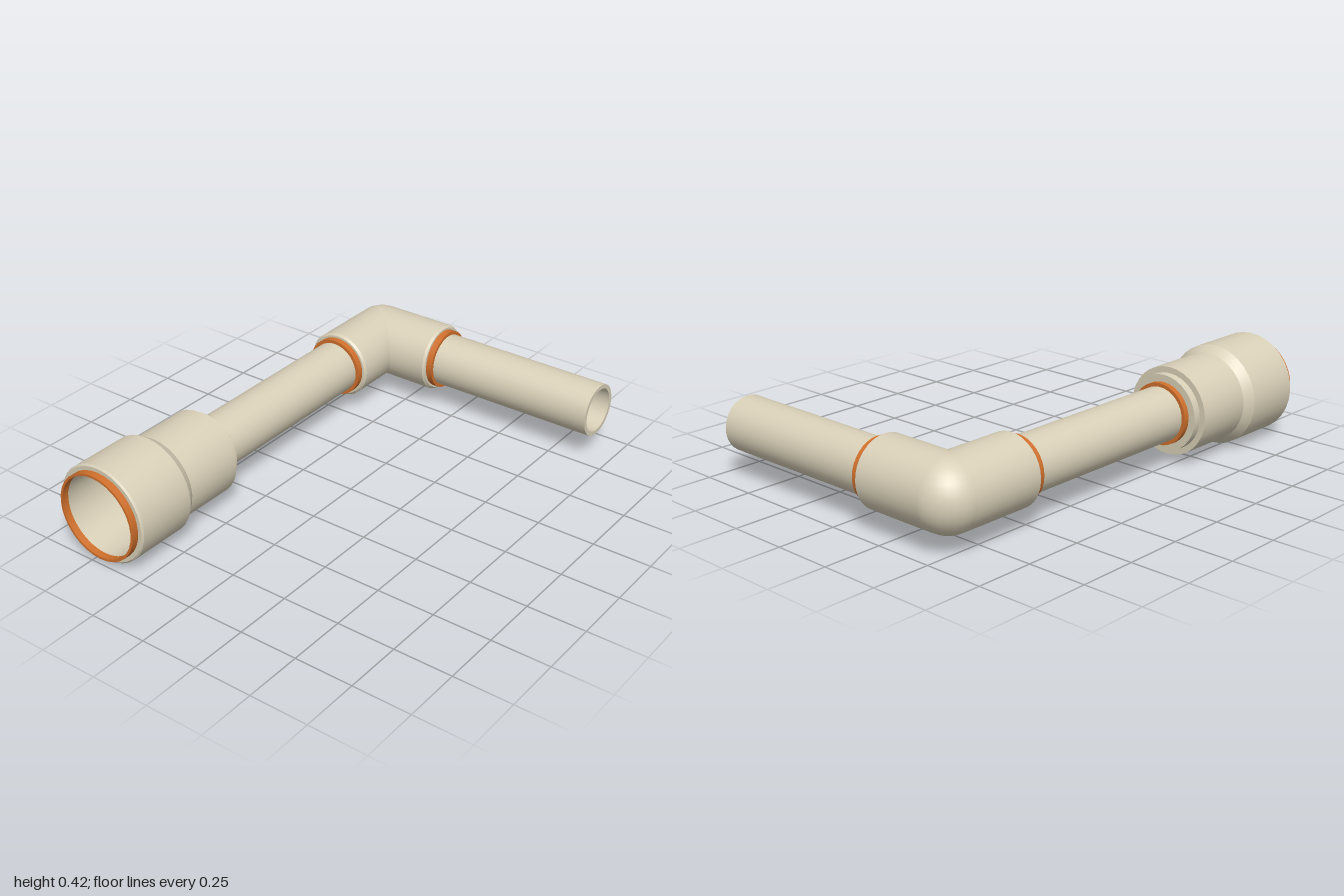
import * as THREE from 'three';
import { toCreasedNormals } from 'three/addons/utils/BufferGeometryUtils.js';

const SEGMENTS = 32;
const PIPE = 0.115, BORE = 0.096, ELBOW = 0.148, RING = 0.13;

export function createModel() {
  const model = new THREE.Group();
  const ivory = new THREE.MeshStandardMaterial({ color: 0xd9d0b8 });
  const orange = new THREE.MeshStandardMaterial({ color: 0xd0702c });
  const inside = new THREE.MeshStandardMaterial({ color: 0xd9d0b8, side: THREE.BackSide });

  // Group origin is the elbow corner; legs run along +z and +x
  const assembly = new THREE.Group();
  assembly.name = 'pipeAssembly';
  assembly.position.set(-0.455, 0.214, -0.852);
  model.add(assembly);

  // Turned part on a leg: profile of [radius, distance from corner].
  // Ends that reach the corner are cut to the mitre plane.
  function turned(name, profile, material, sideLeg = false) {
    const points = profile.map(([r, d]) => new THREE.Vector2(r, d));
    const lathe = new THREE.LatheGeometry(points, SEGMENTS);
    const p = lathe.attributes.position;
    const sign = sideLeg ? -1 : 1;
    for (let i = 0; i < p.count; i++) p.setY(i, Math.max(p.getY(i), sign * p.getX(i)));
    lathe.rotateX(Math.PI / 2);
    if (sideLeg) lathe.rotateY(Math.PI / 2);
    const mesh = new THREE.Mesh(toCreasedNormals(lathe, 0.45), material);
    mesh.name = name;
    assembly.add(mesh);
  }

  function ring(name, inner, outer, from, to, sideLeg) {
    turned(name, [[inner, from], [outer, from], [outer, to], [inner, to], [inner, from]], orange, sideLeg);
  }

  // Both legs: elbow arm, seal ring and hollow pipe
  for (const [prefix, sideLeg, end] of [['front', false, 1.51], ['side', true, 1.122]]) {
    turned(prefix + 'ElbowArm',
      [[ELBOW, 0], [ELBOW, 0.322], [0.139, 0.332], [PIPE, 0.332]], ivory, sideLeg);
    ring(prefix + 'ElbowRing', PIPE, RING, 0.332, 0.36, sideLeg);
    turned(prefix + 'Pipe', [[PIPE, 0.3], [PIPE, end], [BORE, end], [BORE, 0]], ivory, sideLeg);
  }

  // Rounded outer corner of the elbow, outside and bore
  for (const [name, radius, material] of [['elbowCorner', ELBOW, ivory], ['elbowBoreCorner', BORE, inside]]) {
    const corner = new THREE.Mesh(
      new THREE.SphereGeometry(radius, 8, SEGMENTS / 2, Math.PI * 1.5, Math.PI / 2), material);
    corner.name = name;
    assembly.add(corner);
  }

  // Stepped socket at the front, hollow from its mouth to the pipe end
  turned('socket', [
    [PIPE, 1.217], [0.16, 1.217], [0.16, 1.252], [0.185, 1.252], [0.185, 1.515],
    [0.212, 1.555], [0.212, 1.815], [0.205, 1.822], [0.178, 1.822],
    [0.178, 1.57], [0.144, 1.54], [0.144, 1.51], [PIPE, 1.51],
  ], ivory);
  ring('socketBackRing', PIPE, RING, 1.192, 1.217);
  ring('socketMouthRing', 0.178, 0.188, 1.822, 1.852);

  return model;
}
